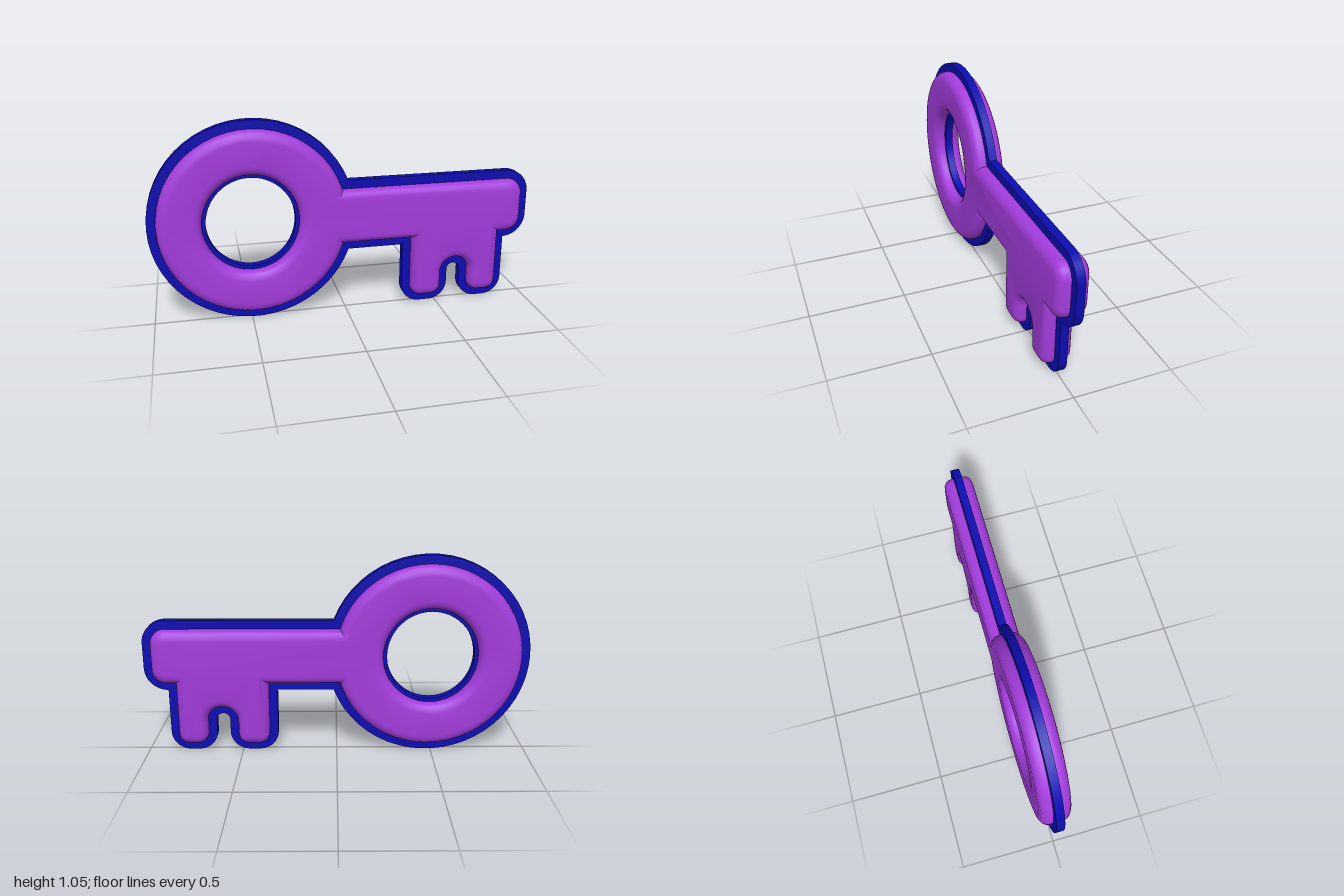
import * as THREE from 'three';
import { toCreasedNormals } from 'three/addons/utils/BufferGeometryUtils.js';

const RING = { x: -0.475, y: 0.53, r: 0.525 };
const PI = Math.PI;

// Key silhouette, shrunk inward by d; the bow hole is widened by grow
function keyShape(d, grow) {
  const top = 0.72 - d, bottom = 0.345 + d, tipX = 1 - d, base = 0.008 + d;
  const R = RING.r - d;
  const corner = 0.1 - d, tip = 0.12 - d;
  const s = new THREE.Shape();

  // round bow
  s.absarc(RING.x, RING.y, R, Math.asin((top - RING.y) / R), 2 * PI - Math.asin((RING.y - bottom) / R), false);

  // underside of the shaft, then two teeth with a round-topped slot between
  s.lineTo(0.31 + d, bottom);
  const tooth = (left, right) => {
    s.absarc(left + corner, base + corner, corner, PI, 1.5 * PI, false);
    s.absarc(right - corner, base + corner, corner, 1.5 * PI, 2 * PI, false);
  };
  tooth(0.31 + d, 0.565 - d);
  s.absarc(0.6, 0.178, 0.035 + d, PI, 0, true);
  tooth(0.635 + d, 0.88 - d);

  // rounded shaft tip
  s.lineTo(0.88 - d, bottom);
  s.absarc(tipX - tip, bottom + tip, tip, 1.5 * PI, 2 * PI, false);
  s.absarc(tipX - tip, top - tip, tip, 0, PI / 2, false);

  // bow hole
  const hole = new THREE.Path();
  hole.absellipse(-0.486, RING.y, 0.226 + grow, 0.235 + grow, 0, 2 * PI, true);
  s.holes.push(hole);
  return s;
}

function keyMesh(name, shape, depth, bevel, material) {
  const geo = new THREE.ExtrudeGeometry(shape, { depth, curveSegments: 24, ...bevel });
  geo.translate(0, 0, -depth / 2);
  const mesh = new THREE.Mesh(toCreasedNormals(geo, 0.6), material);
  mesh.name = name;
  return mesh;
}

export function createModel() {
  const purple = new THREE.MeshStandardMaterial({ name: 'purple', color: 0xa23cdc });
  const blue = new THREE.MeshStandardMaterial({ name: 'deepBlue', color: 0x0c0cb0 });

  const key = new THREE.Group();
  key.name = 'key';

  // thin plate that shows as a rim all round
  key.add(keyMesh('rimPlate', keyShape(0, 0), 0.042, { bevelEnabled: false }, blue));

  // thick body with rounded edges on both faces
  key.add(keyMesh('keyBody', keyShape(0.095, 0.07), 0.066, {
    bevelEnabled: true, bevelSize: 0.05, bevelThickness: 0.045, bevelSegments: 4,
  }, purple));

  return key;
}
